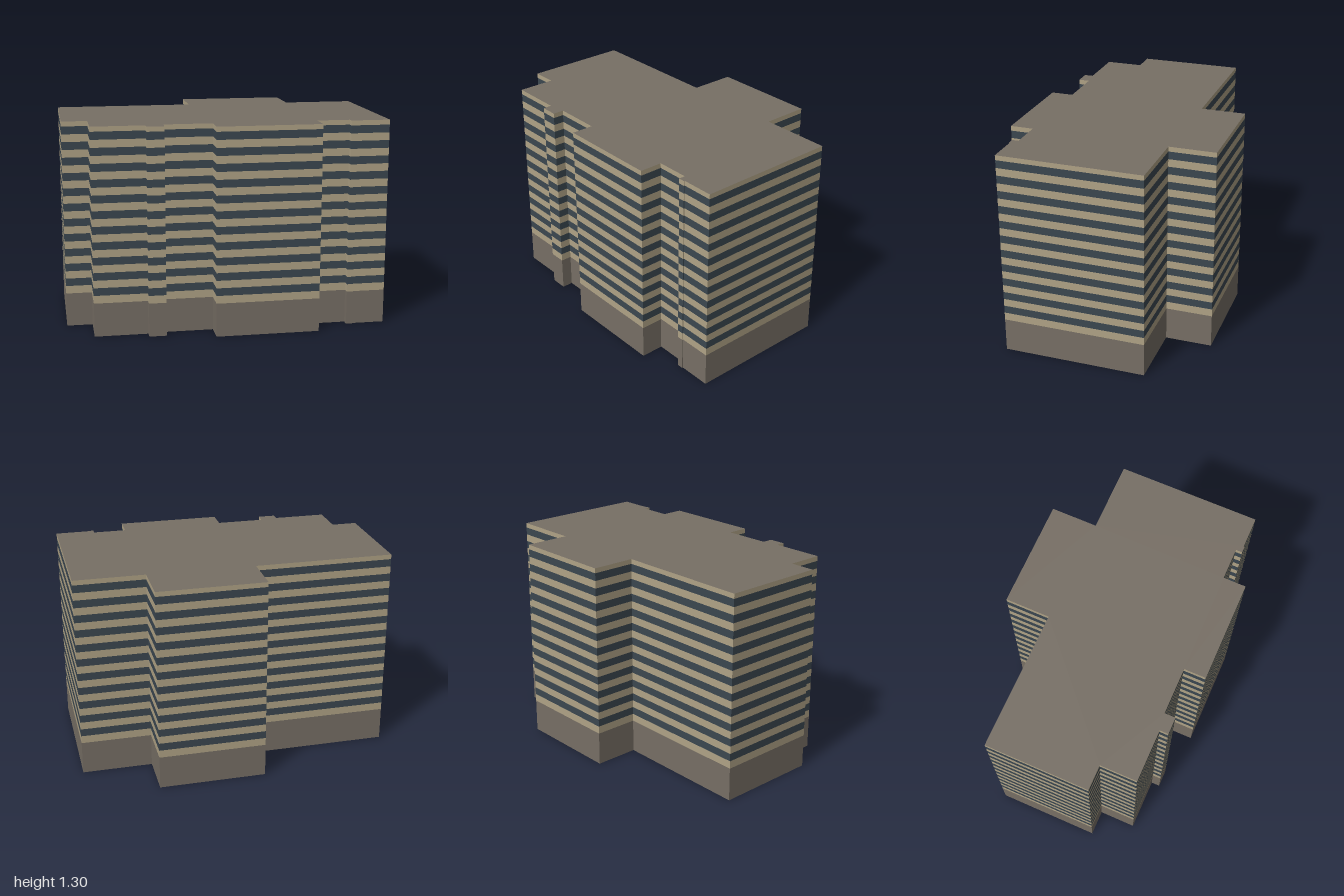
import * as THREE from 'three';

const HEIGHT = 1.305, BASE_TOP = 0.213;
const FLOORS = 11, FLOOR_STEP = 0.0964, WINDOW_BOTTOM = 0.262, WINDOW_HEIGHT = 0.0485;

// Footprint corners as [x, z], clockwise seen from above
const FOOTPRINT = [
  [-1, -0.37], [-0.12, -0.37], [-0.12, -0.653], [0.557, -0.653], [0.557, -0.36], [1, -0.36],
  [1, 0.54], [0.795, 0.54], [0.795, 0.546], [0.755, 0.546], [0.755, 0.505], [0.548, 0.505],
  [0.548, 0.65], [-0.1, 0.65], [-0.1, 0.51], [-0.4, 0.51], [-0.4, 0.58], [-0.508, 0.58],
  [-0.508, 0.525], [-0.84, 0.525], [-0.84, 0.29], [-1, 0.29],
];

function material(name, color) {
  const m = new THREE.MeshStandardMaterial({ color });
  m.name = name;
  return m;
}

// A ring of flat outward-facing walls following the footprint
function wallBand(y0, y1) {
  const positions = [];
  FOOTPRINT.forEach(([ax, az], i) => {
    const [bx, bz] = FOOTPRINT[(i + 1) % FOOTPRINT.length];
    positions.push(ax, y0, az, ax, y1, az, bx, y1, bz);
    positions.push(ax, y0, az, bx, y1, bz, bx, y0, bz);
  });
  const geometry = new THREE.BufferGeometry();
  geometry.setAttribute('position', new THREE.Float32BufferAttribute(positions, 3));
  geometry.computeVertexNormals();
  return geometry;
}

// A flat slab face over the footprint, facing up (1) or down (-1)
function cap(y, facing) {
  const shape = new THREE.Shape(FOOTPRINT.map(([x, z]) => new THREE.Vector2(x, -facing * z)));
  return new THREE.ShapeGeometry(shape).rotateX(-facing * Math.PI / 2).translate(0, y, 0);
}

export function createModel() {
  const model = new THREE.Group();
  model.name = 'officeBlock';
  const stone = material('greyStone', 0x776f65);
  const tan = material('tanCladding', 0xb0a386);
  const glass = material('darkGlass', 0x3b4750);

  const add = (name, geometry, mat) => {
    const mesh = new THREE.Mesh(geometry, mat);
    mesh.name = name;
    model.add(mesh);
  };

  // Ground storey, underside and roof
  add('base', wallBand(0, BASE_TOP), stone);
  add('underside', cap(0, -1), stone);
  add('roof', cap(HEIGHT, 1), stone);

  // Alternating cladding and window bands
  let y = BASE_TOP;
  for (let i = 0; i < FLOORS; i++) {
    const sill = WINDOW_BOTTOM + i * FLOOR_STEP;
    add(`claddingBand${i + 1}`, wallBand(y, sill), tan);
    y = sill + WINDOW_HEIGHT;
    add(`windowBand${i + 1}`, wallBand(sill, y), glass);
  }
  add('parapetBand', wallBand(y, HEIGHT), tan);

  return model;
}
